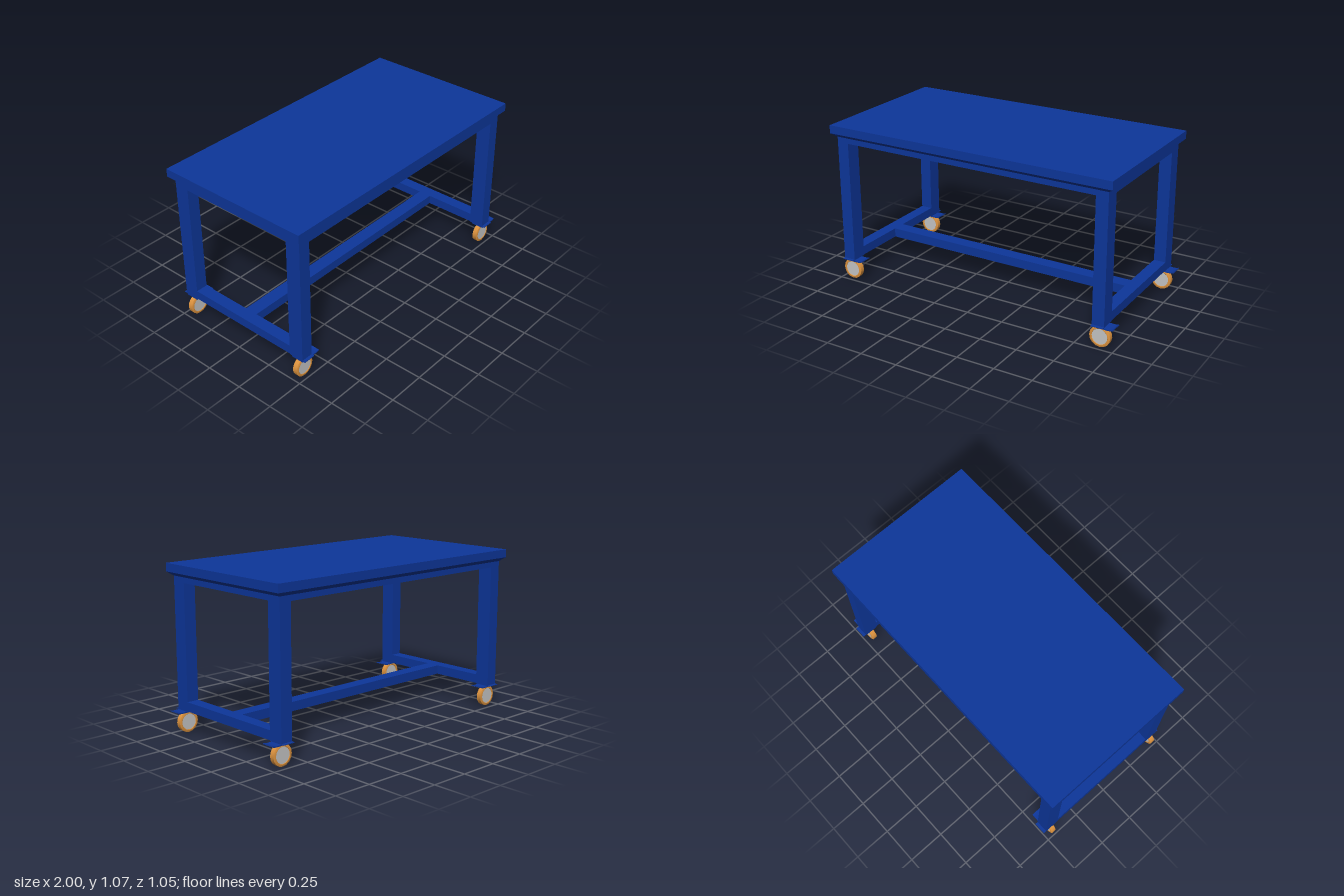
import * as THREE from 'three';
import { toCreasedNormals } from 'three/addons/utils/BufferGeometryUtils.js';

const paint = new THREE.MeshStandardMaterial({ color: 0x0d369a });
paint.name = 'blue paint';
const rubber = new THREE.MeshStandardMaterial({ color: 0xdc923e });
rubber.name = 'orange tyre';
const steel = new THREE.MeshStandardMaterial({ color: 0xc4c4c4 });
steel.name = 'silver hub';

// Box given by its lower and upper limits on each axis
function box(name, [x0, x1], [y0, y1], [z0, z1]) {
  const mesh = new THREE.Mesh(new THREE.BoxGeometry(x1 - x0, y1 - y0, z1 - z0), paint);
  mesh.position.set((x0 + x1) / 2, (y0 + y1) / 2, (z0 + z1) / 2);
  mesh.name = name;
  return mesh;
}

// Wheel with its axle along z and a slightly sunken hub
function createWheel() {
  const wheel = new THREE.Group();
  wheel.name = 'wheel';
  const profile = [
    [0.05, -0.015], [0.053, -0.0185], [0.061, -0.0185], [0.0685, -0.015],
    [0.0685, 0.015], [0.061, 0.0185], [0.053, 0.0185], [0.05, 0.015],
  ].map(([r, y]) => new THREE.Vector2(r, y));
  const tyre = new THREE.Mesh(toCreasedNormals(new THREE.LatheGeometry(profile, 16), 0.6), rubber);
  tyre.name = 'tyre';
  const hub = new THREE.Mesh(new THREE.CylinderGeometry(0.051, 0.051, 0.032, 16), steel);
  hub.name = 'hub';
  wheel.add(tyre, hub);
  wheel.rotation.x = Math.PI / 2;
  return wheel;
}

// Bent mounting plate, its tip turned up towards +x
function createPlate() {
  const shape = new THREE.Shape();
  shape.moveTo(0, 0.138);
  shape.lineTo(0.1, 0.136);
  shape.quadraticCurveTo(0.13, 0.136, 0.139, 0.143);
  shape.lineTo(0.138, 0.149);
  shape.quadraticCurveTo(0.125, 0.142, 0.1, 0.143);
  shape.lineTo(0, 0.147);
  const geometry = new THREE.ExtrudeGeometry(shape, { depth: 0.085, bevelEnabled: false, curveSegments: 5 });
  geometry.translate(0, 0, -0.0425);
  const plate = new THREE.Mesh(geometry, paint);
  plate.name = 'casterPlate';
  return plate;
}

export function createModel() {
  const table = new THREE.Group();
  table.name = 'rollingWorkbench';
  const spanX = [-0.965, 0.94];
  const spanZ = [-0.495, 0.495];
  const legX = [[-0.965, -0.885], [0.86, 0.94]];
  const legZ = [[0.395, 0.495], [-0.495, -0.395]];

  // Top slab and the apron below it
  table.add(box('tabletop', [-1, 0.975], [1.015, 1.068], [-0.525, 0.525]));
  table.add(box('apron', spanX, [0.955, 0.99], spanZ));

  // Chamfer between slab and apron
  const chamfer = box('tabletopChamfer', [-1, 0.975], [0.99, 1.015], [-0.525, 0.525]);
  const pos = chamfer.geometry.attributes.position;
  for (let i = 0; i < pos.count; i++) {
    if (pos.getY(i) < 0) {
      pos.setX(i, pos.getX(i) * 1.905 / 1.975);
      pos.setZ(i, pos.getZ(i) * 0.99 / 1.05);
    }
  }
  chamfer.geometry.computeVertexNormals();
  table.add(chamfer);

  // Legs, each with a thin foot plate and a caster
  for (const x of legX) {
    for (const z of legZ) {
      table.add(box('leg', x, [0.15, 0.955], z));
      const side = Math.sign(z[0]);
      const middle = (z[0] + z[1]) / 2 + side * 0.01;
      table.add(box('footPlate', x, [0.146, 0.15], [middle - 0.06, middle + 0.06]));

      const caster = new THREE.Group();
      caster.name = 'caster';
      const plate = createPlate();
      const wheel = createWheel();
      wheel.position.set(0.042, 0.0685, 0);
      caster.add(plate, wheel);
      caster.position.set(x[0], 0, side > 0 ? 0.456 : -0.445);
      table.add(caster);
    }
    // Low rail joining the two legs of one end
    table.add(box('endRail', x, [0.15, 0.21], [-0.395, 0.395]));
  }

  // Long stretcher between the end rails
  table.add(box('stretcher', [-0.885, 0.86], [0.15, 0.21], [-0.045, 0.045]));
  return table;
}
